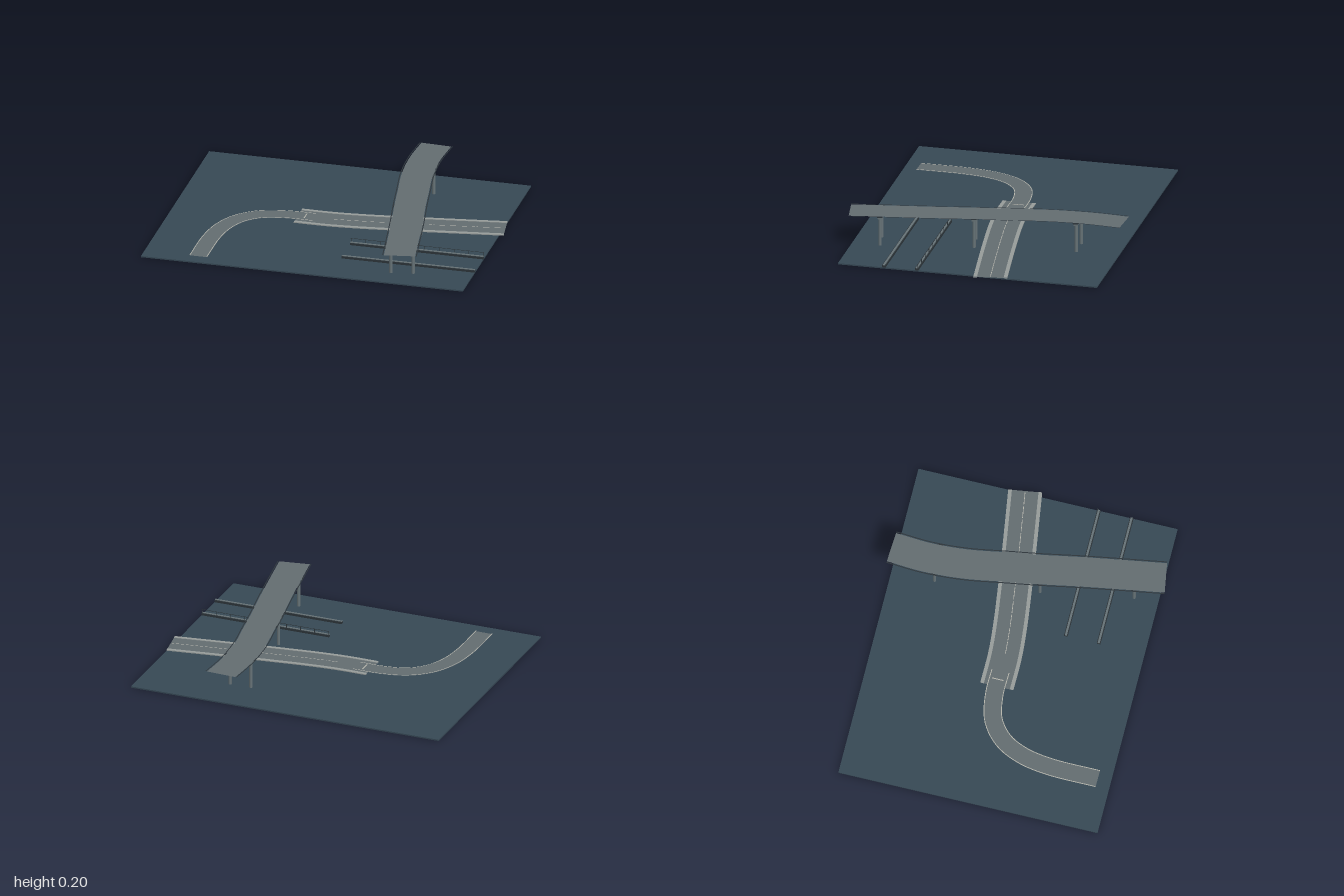
import * as THREE from 'three';

const mat = (name, color, side = THREE.FrontSide) => {
  const m = new THREE.MeshStandardMaterial({ color, side });
  m.name = name;
  return m;
};

export function createModel() {
  const D = THREE.DoubleSide;
  const ground = mat('slate ground', 0x364854);
  const asphalt = mat('asphalt', 0x636c70, D);
  const kerbMat = mat('kerb grey', 0x969b99, D);
  const paint = mat('road paint', 0xb4b4aa, D);
  const concrete = mat('concrete', 0x667276);
  const dark = mat('dark steel', 0x2c3439, D);

  const model = new THREE.Group();
  model.name = 'roadJunction';
  const add = (name, geo, material, x = 0, y = 0, z = 0, parent = model) => {
    const m = new THREE.Mesh(geo, material);
    m.name = name;
    m.position.set(x, y, z);
    parent.add(m);
    return m;
  };
  const box = (name, w, h, d, material, x, y, z, parent) =>
    add(name, new THREE.BoxGeometry(w, h, d), material, x, y, z, parent);

  const path = (pts) => new THREE.CatmullRomCurve3(pts.map(([x, z]) => new THREE.Vector3(x, 0, z)));

  // Sweeps a profile of [sideways offset, height] points along a level path
  function sweep(name, curve, profile, material, closed = false, from = 0, to = 1, n = 40) {
    const pos = [], idx = [], k = profile.length;
    for (let i = 0; i <= n; i++) {
      const u = from + (to - from) * i / n;
      const p = curve.getPointAt(u), t = curve.getTangentAt(u);
      for (const [o, y] of profile) pos.push(p.x - t.z * o, y, p.z + t.x * o);
    }
    for (let i = 0; i < n; i++) {
      for (let j = 0; j < (closed ? k : k - 1); j++) {
        const a = i * k + j, b = i * k + (j + 1) % k;
        idx.push(a, b, a + k, b, b + k, a + k);
      }
    }
    let geo = new THREE.BufferGeometry();
    geo.setAttribute('position', new THREE.Float32BufferAttribute(pos, 3));
    geo.setIndex(idx);
    geo = geo.toNonIndexed();
    geo.computeVertexNormals();
    return add(name, geo, material);
  }
  const flat = (name, curve, a, b, y, material, from, to, n) =>
    sweep(name, curve, [[a, y], [b, y]], material, false, from, to, n);
  const bar = (name, curve, a, b, y0, y1, material) =>
    sweep(name, curve, [[a, y1], [b, y1], [b, y0], [a, y0]], material, true);

  // Ground slab
  box('ground', 1.97, 0.008, 1.58, ground, -0.015, 0.004, -0.01);

  // Narrow curved road with painted edges
  const lane = path([[-0.67, 0.7], [-0.665, 0.4], [-0.635, 0.23], [-0.57, 0.1],
    [-0.46, 0.012], [-0.305, -0.022], [-0.15, -0.022]]);
  flat('curvedRoad', lane, -0.054, 0.054, 0.0095, asphalt);
  for (const s of [-1, 1]) flat('curvedRoadEdge', lane, s * 0.052 - 0.0025, s * 0.052 + 0.0025, 0.0125, paint);

  // Wide road with kerbs and a dashed centre line
  const road = path([[-0.25, -0.02], [-0.05, -0.02], [0.13, -0.034], [0.325, -0.058],
    [0.6, -0.096], [0.985, -0.153]]);
  flat('mainRoad', road, -0.1, 0.1, 0.011, asphalt);
  for (const s of [-1, 1]) bar('kerb', road, s * 0.09 - 0.011, s * 0.09 + 0.011, 0.008, 0.0135, kerbMat);
  const dashes = 12;
  for (let i = 0; i < dashes; i++) {
    const u = 0.17 + 0.83 * i / dashes;
    flat('centreDash', road, -0.002, 0.002, 0.0128, paint, u, u + 0.062, 3);
  }
  box('stopLine', 0.006, 0.001, 0.07, paint, -0.205, 0.0128, -0.025);

  // Raised overpass deck with thin rails along both edges
  const over = path([[0.385, -0.82], [0.373, -0.6], [0.387, -0.37], [0.425, -0.14],
    [0.46, 0.07], [0.505, 0.31], [0.588, 0.803]]);
  flat('overpassDeck', over, -0.093, 0.093, 0.199, asphalt);
  for (const s of [-1, 1]) flat('deckRail', over, s * 0.1 - 0.003, s * 0.1 + 0.003, 0.2, dark);

  // Piers: two columns under a stepped cross beam, square to the deck
  const shaft = new THREE.CylinderGeometry(0.01, 0.01, 0.174, 12);
  for (const [x, z, slope] of [[0.377, -0.54, 0.02], [0.457, 0.073, 0.17], [0.556, 0.622, 0.17]]) {
    const pier = new THREE.Group();
    pier.name = 'pier';
    pier.position.set(x, 0, z);
    pier.rotation.y = Math.atan(slope);
    model.add(pier);
    for (const s of [-1, 1]) add('column', shaft, concrete, s * 0.066, 0.095, 0, pier);
    box('crossBeam', 0.175, 0.012, 0.026, concrete, 0, 0.185, 0, pier);
    box('beamCap', 0.192, 0.006, 0.034, dark, 0, 0.1945, 0, pier);
  }

  // Low barriers with a concrete strip on top
  for (const z of [0.3, 0.5]) {
    box('barrierBase', 0.815, 0.013, 0.022, dark, 0.563, 0.0145, z);
    box('barrierTop', 0.815, 0.003, 0.012, concrete, 0.563, 0.0225, z);
  }
  // Slim fence behind one barrier
  box('fenceRail', 0.815, 0.002, 0.002, dark, 0.563, 0.045, 0.293);
  for (let i = 0; i <= 9; i++) box('fencePost', 0.003, 0.037, 0.003, dark, 0.158 + i * 0.09, 0.0265, 0.293);

  return model;
}
